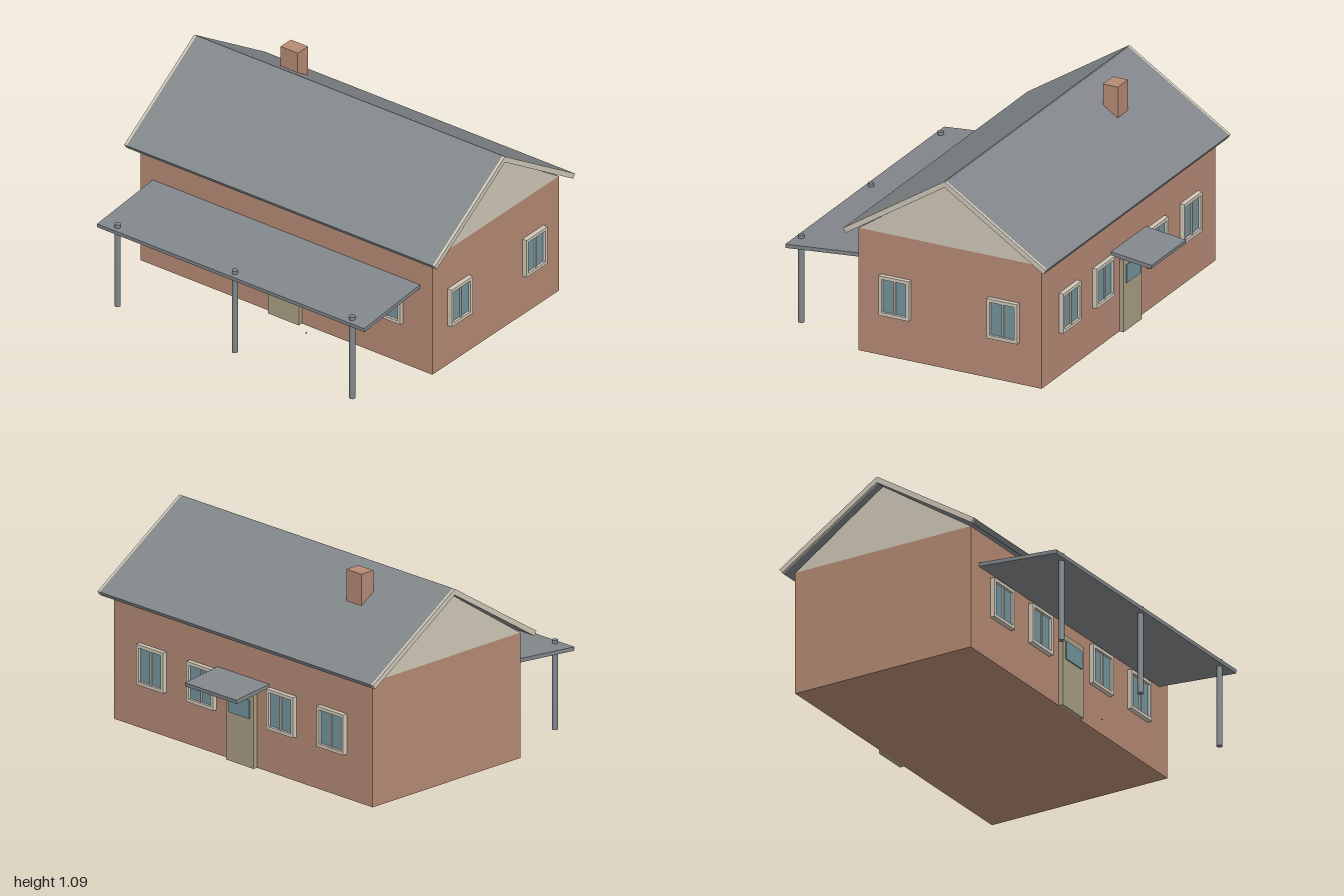
import * as THREE from 'three';

const mat = (color) => new THREE.MeshStandardMaterial({ color, flatShading: true });
const WALL = mat(0xb58a74), TRIM = mat(0xcfc7b8), ROOF = mat(0x82878b);
const GLASS = mat(0x74949e), DOOR = mat(0xaa9f84), METAL = mat(0x80868a);
METAL.flatShading = false;

// House footprint
const CX = 0.115, HALF_W = 0.53, HALF_L = 0.94, EAVE = 0.68;

function add(parent, name, geometry, material, x = 0, y = 0, z = 0) {
  const mesh = new THREE.Mesh(geometry, material);
  mesh.name = name;
  mesh.position.set(x, y, z);
  parent.add(mesh);
  return mesh;
}

function box(parent, name, material, w, h, d, x, y, z) {
  return add(parent, name, new THREE.BoxGeometry(w, h, d), material, x, y, z);
}

// Sloping board whose top edge runs from (x0, y0) to (x1, y1), with x0 < x1
function slab(parent, name, material, x0, y0, x1, y1, thick, length, z = 0) {
  const a = Math.atan2(y1 - y0, x1 - x0);
  const mesh = box(parent, name, material, Math.hypot(x1 - x0, y1 - y0), thick, length,
    (x0 + x1) / 2 + Math.sin(a) * thick / 2, (y0 + y1) / 2 - Math.cos(a) * thick / 2, z);
  mesh.rotation.z = a;
  return mesh;
}

// Two-pane window facing +z, its back on z = 0
function makeWindow(w, h) {
  const g = new THREE.Group();
  g.name = 'window';
  const b = 0.018, depth = 0.026;
  const rect = (path, x, y) => path.moveTo(-x, -y).lineTo(x, -y).lineTo(x, y).lineTo(-x, y).closePath();
  const shape = rect(new THREE.Shape(), w / 2, h / 2);
  shape.holes.push(rect(new THREE.Path(), w / 2 - b, h / 2 - b));
  add(g, 'windowFrame', new THREE.ExtrudeGeometry(shape, { depth, bevelEnabled: false }), TRIM);
  box(g, 'windowGlass', GLASS, w - 2 * b, h - 2 * b, 0.012, 0, 0, 0.006);
  box(g, 'windowMullion', TRIM, 0.01, h - 2 * b, 0.02, 0, 0, 0.01);
  return g;
}

// Door with a small pane, facing +z
function makeDoor() {
  const g = new THREE.Group();
  g.name = 'door';
  box(g, 'doorPanel', DOOR, 0.2, 0.4, 0.025, 0, 0.2, 0.0125);
  box(g, 'doorGlass', GLASS, 0.15, 0.1, 0.012, 0, 0.316, 0.026);
  return g;
}

export function createModel() {
  const house = new THREE.Group();
  house.name = 'house';

  // Walls and gable
  box(house, 'walls', WALL, 2 * HALF_W, EAVE, 2 * HALF_L, CX, EAVE / 2, 0);
  const gable = new THREE.Shape();
  gable.moveTo(-HALF_W, 0).lineTo(HALF_W, 0).lineTo(0, 1.035 - EAVE).closePath();
  add(house, 'gable', new THREE.ExtrudeGeometry(gable, { depth: 2 * HALF_L, bevelEnabled: false }),
    TRIM, CX, EAVE, -HALF_L);

  // Roof halves with pale boards along the gable ends
  const ridgeX = 0.003, ridgeY = 1.065, eaveX = 0.587, eaveY = 0.69;
  for (const side of [-1, 1]) {
    const ends = side < 0
      ? [CX - eaveX, eaveY, CX - ridgeX, ridgeY]
      : [CX + ridgeX, ridgeY, CX + eaveX, eaveY];
    slab(house, 'roof', ROOF, ...ends, 0.028, 1.97);
    for (const z of [-0.9925, 0.9925]) slab(house, 'gableBoard', TRIM, ...ends, 0.028, 0.015, z);
  }
  box(house, 'chimney', WALL, 0.086, 0.2, 0.11, 0.302, 0.99, -0.5);

  // Windows and doors on both long sides
  for (const side of [-1, 1]) {
    const facade = new THREE.Group();
    facade.name = side > 0 ? 'leftFacade' : 'rightFacade';
    facade.position.x = CX + side * HALF_W;
    facade.rotation.y = side * Math.PI / 2;
    for (const u of [-0.655, -0.29, 0.29, 0.655]) {
      const win = makeWindow(0.195, 0.22);
      win.position.set(u, 0.35, 0);
      facade.add(win);
    }
    facade.add(makeDoor());
    house.add(facade);
  }

  // Windows on the front gable wall
  for (const x of [-0.198, 0.428]) {
    const win = makeWindow(0.176, 0.22);
    win.position.set(x, 0.34, HALF_L);
    house.add(win);
  }

  // Small canopy over one door, long veranda roof on posts over the other
  slab(house, 'doorCanopy', ROOF, 0.635, 0.477, 0.878, 0.447, 0.021, 0.374);
  slab(house, 'verandaRoof', ROOF, -0.882, 0.464, -0.405, 0.506, 0.021, 1.72);
  for (const z of [-0.755, 0, 0.755]) {
    add(house, 'verandaPost', new THREE.CylinderGeometry(0.016, 0.016, 0.486, 20), METAL, -0.846, 0.243, z);
  }
  add(house, 'doorStop', new THREE.SphereGeometry(0.004, 8, 6), METAL, -0.495, 0.015, 0.19);

  return house;
}
